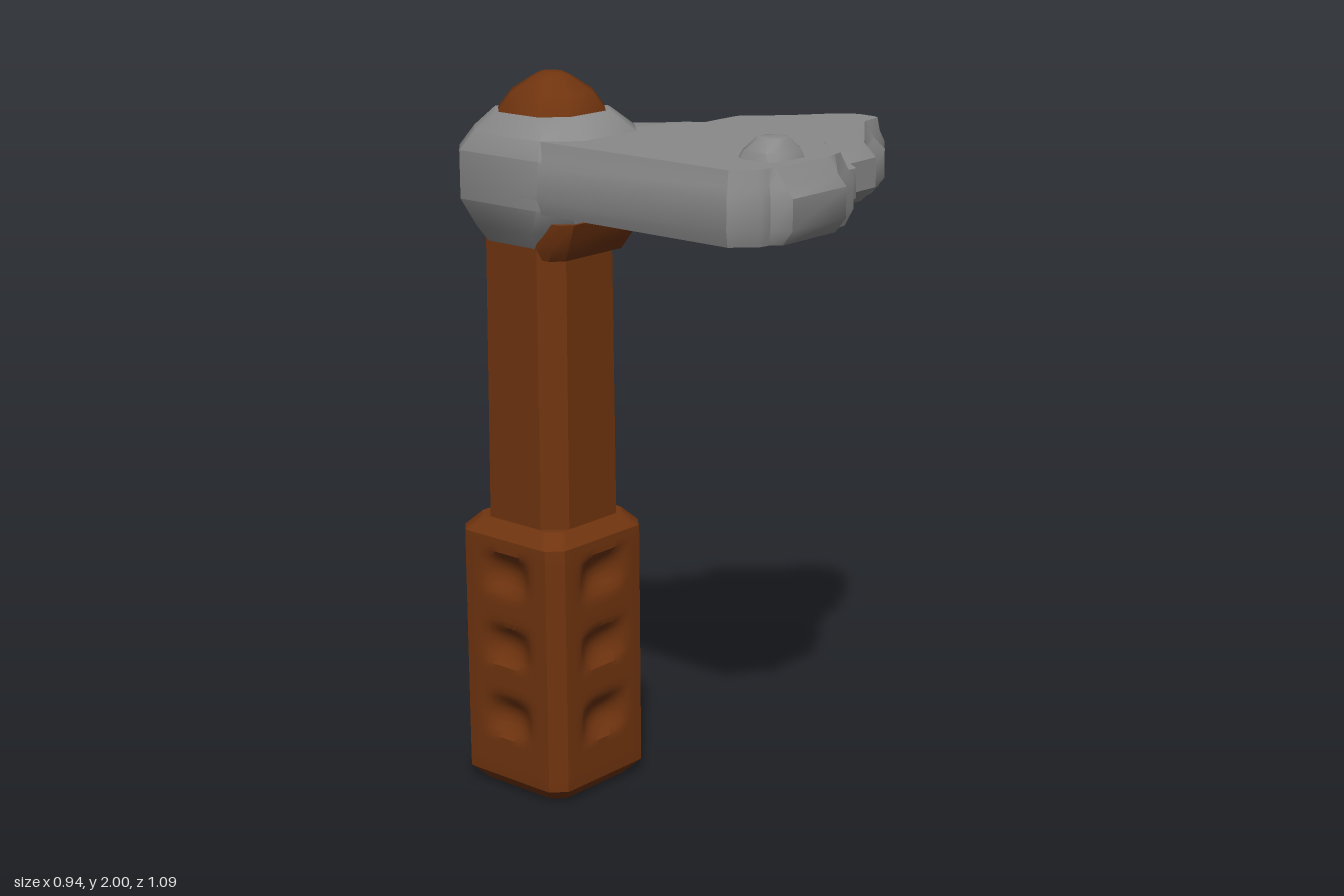
import * as THREE from 'three';
import { toCreasedNormals } from 'three/addons/utils/BufferGeometryUtils.js';

const material = (name, color) => Object.assign(new THREE.MeshStandardMaterial({ color }), { name });

// Skin a stack of rings (counter-clockwise from above, bottom to top) and cap both ends.
function loft(rings, crease = 0.6) {
  const n = rings[0].length;
  const position = rings.flat().flatMap((p) => [p.x, p.y, p.z]);
  const index = [];
  for (let i = 0; i < rings.length - 1; i++) {
    for (let j = 0; j < n; j++) {
      const k = (j + 1) % n;
      const a = i * n + j, b = i * n + k, c = b + n, d = a + n;
      index.push(a, b, c, a, c, d);
    }
  }
  const cap = (ring) => THREE.ShapeUtils.triangulateShape(ring.map((p) => new THREE.Vector2(p.x, -p.z)), []);
  const top = (rings.length - 1) * n;
  for (const [a, b, c] of cap(rings[0])) index.push(a, c, b);
  for (const [a, b, c] of cap(rings[rings.length - 1])) index.push(top + a, top + b, top + c);
  const geometry = new THREE.BufferGeometry();
  geometry.setAttribute('position', new THREE.Float32BufferAttribute(position, 3));
  geometry.setIndex(index);
  return toCreasedNormals(geometry, crease);
}

// Rectangle with cut corners, lying flat at height y.
function octagon(y, x0, x1, z0, z1, cut) {
  return [
    [x0 + cut, z0], [x0, z0 + cut], [x0, z1 - cut], [x0 + cut, z1],
    [x1 - cut, z1], [x1, z1 - cut], [x1, z0 + cut], [x1 - cut, z0],
  ].map(([x, z]) => new THREE.Vector3(x, y, z));
}
const octLoft = (rows, crease) => loft(rows.map((r) => octagon(...r)), crease);

// Grip block with bevelled corners, tapered ends and three scoops on each side.
function gripGeometry() {
  const half = 0.19, height = 0.78;
  const g = new THREE.BoxGeometry(half * 2, height, half * 2, 20, 40, 20);
  const pos = g.attributes.position;
  for (let i = 0; i < pos.count; i++) {
    let x = pos.getX(i), z = pos.getZ(i);
    const y = pos.getY(i) + height / 2;
    const scoop = (t) => [0.22, 0.43, 0.64].reduce((sum, c) =>
      sum + 0.035 * Math.max(0, 1 - (t / 0.09) ** 2) * Math.max(0, 1 - ((y - c) / 0.06) ** 2), 0);
    const onX = Math.abs(x) > half - 1e-4, onZ = Math.abs(z) > half - 1e-4;
    const over = Math.max(0, Math.abs(x) + Math.abs(z) - 0.34) / 2;
    const dx = over + (onX ? scoop(z) : 0), dz = over + (onZ ? scoop(x) : 0);
    const end = Math.min(1, Math.min(y, height - y) / 0.04);
    const taper = 0.8 + 0.2 * end;
    x = Math.sign(x) * Math.max(0, Math.abs(x) - dx) * taper;
    z = Math.sign(z) * Math.max(0, Math.abs(z) - dz) * taper;
    pos.setXYZ(i, x, y, z);
  }
  return toCreasedNormals(g, 0.6);
}

// Blade plan: outer x, z at the rim, then x, z of the top plateau.
const BLADE = [
  [-0.47, -0.3, -0.45, -0.3], [-0.47, 0.43, -0.45, 0.42], [-0.41, 0.49, -0.40, 0.475],
  [-0.38, 0.495, -0.37, 0.48], [-0.355, 0.545, -0.35, 0.49], [-0.14, 0.545, -0.14, 0.49],
  [-0.11, 0.495, -0.11, 0.485], [-0.03, 0.485, -0.075, 0.475], [-0.02, 0.44, -0.04, 0.42],
  [0.0, 0.41, 0.0, 0.37], [0.08, 0.41, 0.03, 0.34], [0.1, 0.36, 0.05, 0.295],
  [0.24, 0.355, 0.22, 0.29], [0.26, 0.3, 0.28, 0.285], [0.36, 0.295, 0.32, 0.255],
  [0.37, 0.25, 0.35, 0.235], [0.43, 0.235, 0.42, 0.225], [0.46, 0.22, 0.43, 0.21],
  [0.47, 0.16, 0.435, 0.15], [0.455, 0.11, 0.42, 0.12], [0.42, 0.075, 0.38, 0.08],
  [0.38, 0.06, 0.34, 0.05], [0.34, -0.01, 0.30, 0.02], [0.28, -0.08, 0.25, -0.03],
  [0.26, -0.11, 0.21, -0.08], [0.21, -0.17, 0.18, -0.085], [0.1, -0.17, 0.06, -0.085],
  [0.08, -0.215, 0.03, -0.13], [0.0, -0.215, -0.02, -0.17], [-0.04, -0.27, -0.07, -0.23],
  [-0.07, -0.32, -0.1, -0.3],
];
function bladeGeometry() {
  const ring = (y, t) => BLADE.map(([ox, oz, ix, iz]) =>
    new THREE.Vector3(THREE.MathUtils.lerp(ox, ix, t), y, THREE.MathUtils.lerp(oz, iz, t)));
  return loft([ring(1.66, 0.6), ring(1.70, 0), ring(1.78, 0), ring(1.81, 0.5), ring(1.85, 1)], 0.7);
}

export function createModel() {
  const wood = material('brown wood', 0x70340f);
  const stone = material('grey stone', 0x8a8a8a);
  const worn = material('worn wood', 0x5e4638);
  const model = new THREE.Group();
  model.name = 'stoneAxe';
  const add = (name, geometry, mat, x = 0, y = 0, z = 0) => {
    const mesh = new THREE.Mesh(geometry, mat);
    mesh.name = name;
    mesh.position.set(x, y, z);
    model.add(mesh);
    return mesh;
  };

  // Handle
  add('grip', gripGeometry(), wood, -0.28, 0, -0.355);
  add('shaft', octLoft([
    [0.76, -0.425, -0.125, -0.505, -0.205, 0.055],
    [1.58, -0.42, -0.13, -0.5, -0.205, 0.055],
  ]), wood);
  const strip = add('wornCorner', new THREE.BoxGeometry(0.025, 0.45, 0.006), worn, -0.11, 0.36, -0.525);
  strip.rotation.y = -Math.PI / 4;

  // Stone socket around the top of the handle
  add('socket', octLoft([
    [1.54, -0.41, -0.13, -0.49, -0.21, 0.06],
    [1.60, -0.45, -0.08, -0.54, -0.16, 0.09],
    [1.67, -0.47, -0.07, -0.547, -0.15, 0.06],
    [1.80, -0.47, -0.07, -0.547, -0.14, 0.06],
    [1.85, -0.45, -0.085, -0.53, -0.13, 0.08],
    [1.90, -0.40, -0.13, -0.49, -0.19, 0.07],
  ], 0.8), stone);
  add('shoulder', octLoft([
    [1.525, -0.41, -0.13, -0.3, -0.195, 0.03],
    [1.57, -0.425, -0.12, -0.3, -0.165, 0.03],
    [1.63, -0.425, -0.12, -0.3, -0.146, 0.03],
  ]), wood);

  // Handle end poking through the socket
  add('handleTip', octLoft([
    [1.86, -0.41, -0.13, -0.48, -0.2, 0.06],
    [1.905, -0.395, -0.14, -0.47, -0.21, 0.06],
    [1.95, -0.36, -0.17, -0.445, -0.235, 0.05],
    [1.99, -0.31, -0.22, -0.39, -0.29, 0.03],
    [2.0, -0.29, -0.24, -0.37, -0.31, 0.02],
  ], 0.8), wood);

  // Chipped blade with a small knob on top
  add('blade', bladeGeometry(), stone);
  add('knob', octLoft([
    [1.83, -0.315, -0.165, 0.31, 0.46, 0.02],
    [1.87, -0.305, -0.17, 0.33, 0.44, 0.02],
    [1.9, -0.275, -0.195, 0.35, 0.42, 0.02],
  ], 0.8), stone);
  return model;
}
